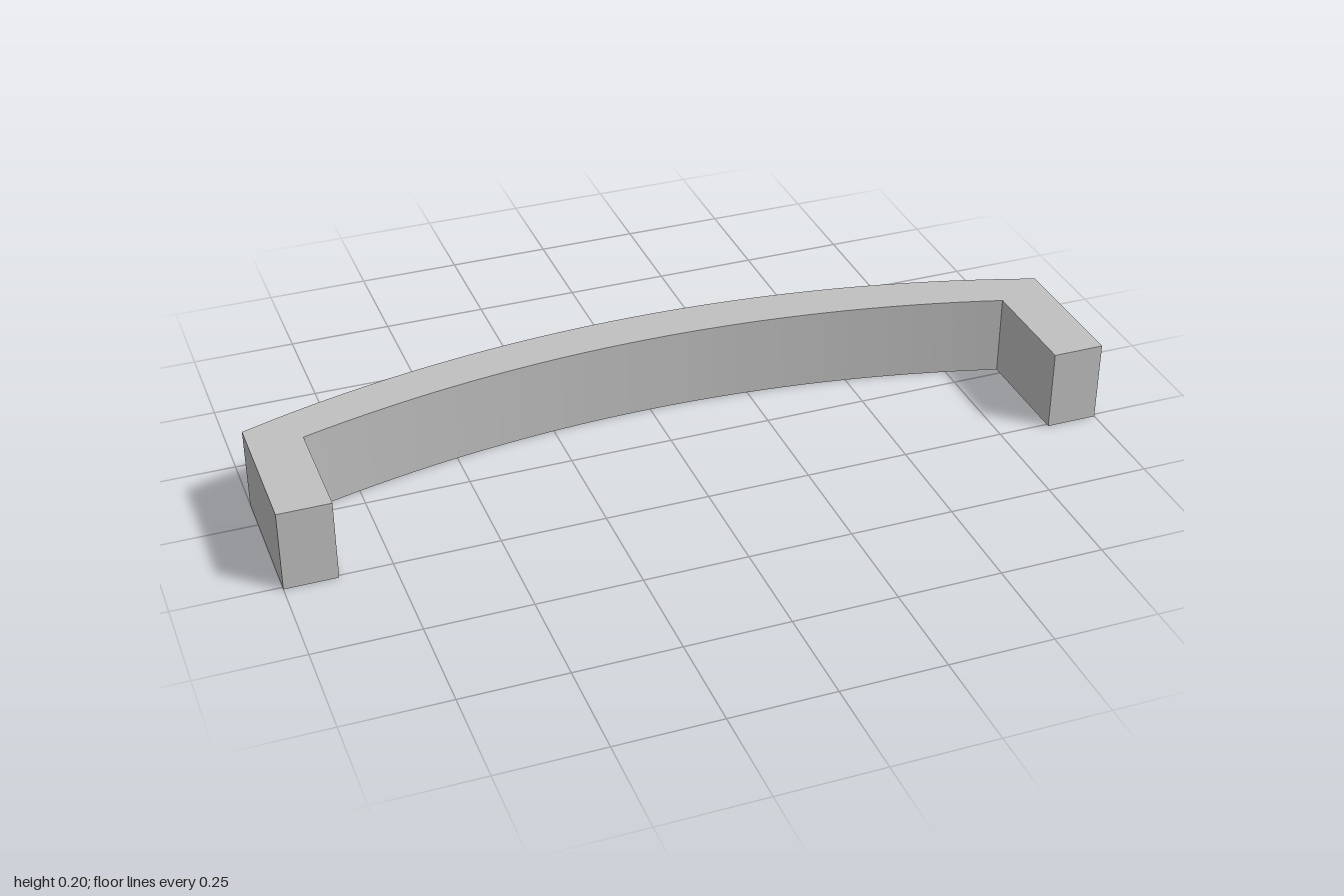
import * as THREE from 'three';

const HEIGHT = 0.2;
const FRONT = -0.258; // plan y is -z

// Points of an arc through (-half, endY), (0, midY), (half, endY), left to right
function bow(half, endY, midY, segments) {
  const rise = midY - endY;
  const radius = (half * half + rise * rise) / (2 * rise);
  const sweep = Math.asin(half / radius);
  return Array.from({ length: segments + 1 }, (_, i) => {
    const a = sweep * (2 * i / segments - 1);
    return new THREE.Vector2(radius * Math.sin(a), midY - radius + radius * Math.cos(a));
  });
}

export function createModel() {
  const group = new THREE.Group();
  group.name = 'bowedPullHandle';
  const metal = new THREE.MeshStandardMaterial({ color: 0xc0c0c0 });
  metal.name = 'satin grey';

  // Plan outline: bowed grip with a straight foot at each end
  const outline = new THREE.Shape([
    new THREE.Vector2(-1, FRONT),
    ...bow(1, 0.086, 0.258, 32),
    new THREE.Vector2(1, FRONT),
    new THREE.Vector2(0.875, FRONT),
    ...bow(0.875, 0.017, 0.146, 32).reverse(),
    new THREE.Vector2(-0.875, FRONT),
  ]);

  // Raise the plan to the full height and lay it flat
  const geometry = new THREE.ExtrudeGeometry(outline, { depth: HEIGHT, bevelEnabled: false });
  geometry.rotateX(-Math.PI / 2);
  const handle = new THREE.Mesh(geometry, metal);
  handle.name = 'handle';
  group.add(handle);
  return group;
}
